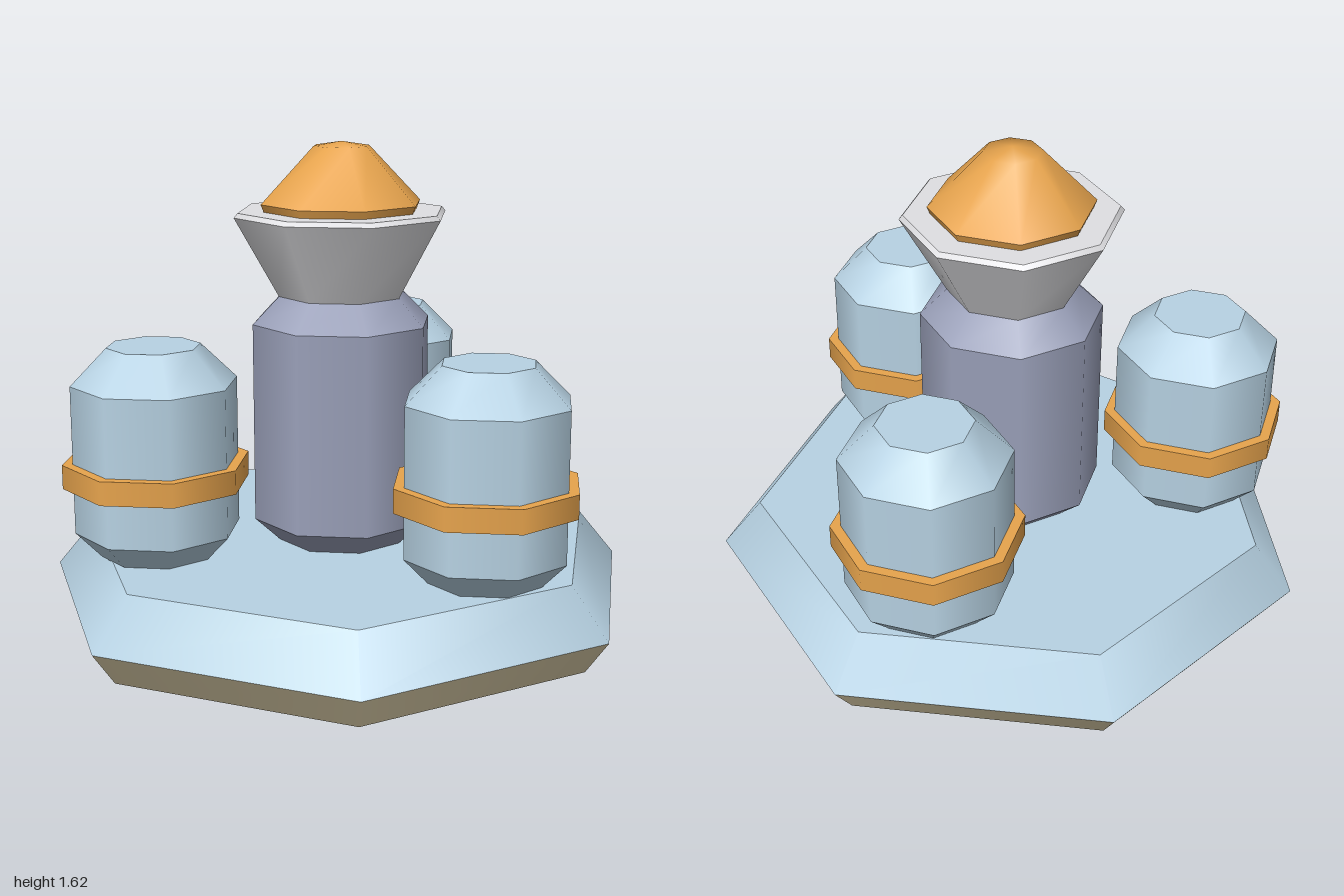
import * as THREE from 'three';
import { mergeGeometries, mergeVertices } from 'three/addons/utils/BufferGeometryUtils.js';

const material = (name, color) => {
  const m = new THREE.MeshStandardMaterial({ color });
  m.name = name;
  return m;
};

// Open frustums, profile = [radius, y] from bottom to top
function frustums(profile, sides) {
  return profile.slice(1).map(([r1, y1], i) => {
    const [r0, y0] = profile[i];
    return new THREE.CylinderGeometry(r1, r0, y1 - y0, sides, 1, true).translate(0, (y0 + y1) / 2, 0);
  });
}

// Capped stack: smooth around the axis, sharp between the tiers
function stack(profile, sides) {
  const cap = ([r, y], tilt) =>
    new THREE.CircleGeometry(r, sides)
      .rotateX(tilt).rotateY(Math.PI / 2).translate(0, y, 0);
  return mergeGeometries([
    ...frustums(profile, sides),
    cap(profile[0], Math.PI / 2),
    cap(profile[profile.length - 1], -Math.PI / 2),
  ]);
}

// Stack with normals smoothed across the tiers, closing in a point
function smoothDome(profile, sides) {
  const merged = mergeGeometries(frustums(profile, sides));
  merged.deleteAttribute('normal');
  merged.deleteAttribute('uv');
  const dome = mergeVertices(merged);
  dome.computeVertexNormals();
  return dome;
}

export function createModel() {
  const blue = material('paleBlue', 0xb8d3e4);
  const beige = material('beige', 0xdfd1ab);
  const underside = material('greyUnderside', 0x888da0);
  const slate = material('slate', 0x9aa0b9);
  const silver = material('silver', 0xe0e0e3);
  const amber = material('amber', 0xeaa64e);

  const model = new THREE.Group();
  model.name = 'model';
  const add = (parent, name, geometry, mat) => {
    const mesh = new THREE.Mesh(geometry, mat);
    mesh.name = name;
    parent.add(mesh);
  };

  // everything is laid out around an axis slightly off x = 0
  const hub = new THREE.Group();
  hub.name = 'station';
  hub.position.x = -0.039;
  model.add(hub);

  // seven-sided base with a corner pointing to +x
  const lower = new THREE.CylinderGeometry(1.025, 0.945, 0.115, 7)
    .rotateY(Math.PI / 2).translate(0, 0.0575, 0);
  add(hub, 'baseSkirt', lower, [beige, beige, underside]);
  const upper = new THREE.CylinderGeometry(0.89, 1.025, 0.165, 7)
    .rotateY(Math.PI / 2).translate(0, 0.1975, 0);
  add(hub, 'baseDeck', upper, blue);

  // central tower, flared collar and cap
  add(hub, 'tower', stack([[0.215, 0.275], [0.305, 0.36], [0.305, 1.03], [0.215, 1.12]], 8), slate);
  add(hub, 'collar', stack([[0.215, 1.12], [0.363, 1.385], [0.35, 1.4]], 8), silver);
  add(hub, 'capRim', stack([[0.262, 1.398], [0.273, 1.425]], 8), amber);
  add(hub, 'capDome', smoothDome([[0.273, 1.425], [0.095, 1.61], [0, 1.625]], 8), amber);

  // three tanks around the tower, each with a band
  const tank = stack([[0.19, 0.275], [0.275, 0.365], [0.275, 0.86], [0.155, 0.98]], 8);
  const band = stack([[0.31, 0.52], [0.31, 0.6]], 8);
  for (let i = 0; i < 3; i++) {
    const angle = Math.PI / 3 + (i * Math.PI * 2) / 3;
    const pod = new THREE.Group();
    pod.name = `pod${i + 1}`;
    pod.position.set(0.636 * Math.cos(angle), 0, 0.636 * Math.sin(angle));
    add(pod, 'tank', tank, blue);
    add(pod, 'band', band, amber);
    hub.add(pod);
  }
  return model;
}
